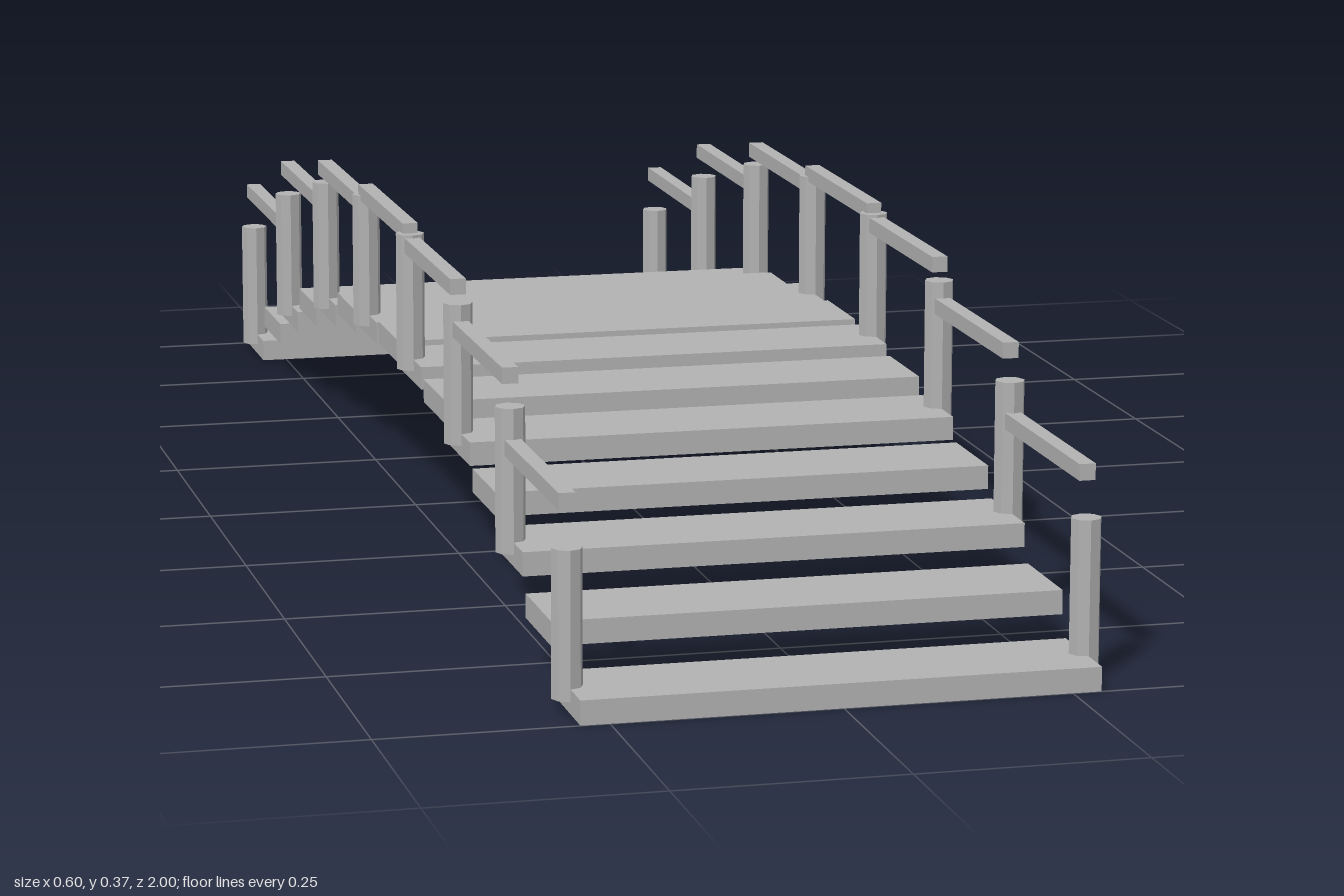
import * as THREE from 'three';

// Arched footbridge: stepped planks, posts on every second plank, level rails between posts.
export function createModel() {
  const model = new THREE.Group();
  model.name = 'archedFootbridge';
  const wood = new THREE.MeshStandardMaterial({ color: 0xb2b2b2, flatShading: true });
  wood.name = 'plain grey';

  const count = 15, step = 0.1342, half = (count - 1) / 2;
  const thick = 0.0268, rise = 0.188, sideX = 0.2815, postHeight = 0.161;
  const plankZ = (i) => (half - i) * step;
  const plankY = (i) => thick / 2 + rise * (1 - ((i - half) / half) ** 2);

  const plankGeo = new THREE.BoxGeometry(sideX * 2, thick, 0.1208);
  const postGeo = new THREE.CylinderGeometry(0.0168, 0.0168, postHeight, 8);
  const railGeo = new THREE.BoxGeometry(0.018, 0.018, 0.272);

  const add = (name, geo, x, y, z) => {
    const mesh = new THREE.Mesh(geo, wood);
    mesh.name = name;
    mesh.position.set(x, y, z);
    model.add(mesh);
  };

  // Planks follow a parabola
  for (let i = 0; i < count; i++) add(`plank${i + 1}`, plankGeo, 0, plankY(i), plankZ(i));

  // Posts and handrails, mirrored on both sides
  for (const [side, x] of [['left', sideX], ['right', -sideX]]) {
    for (let i = 0; i < count; i += 2) {
      add(`${side}Post${i / 2 + 1}`, postGeo, x, plankY(i) + postHeight / 2, plankZ(i));
      if (i + 2 < count) {
        const y = (plankY(i) + plankY(i + 2)) / 2 + postHeight + 0.003;
        add(`${side}Rail${i / 2 + 1}`, railGeo, x, y, plankZ(i + 1));
      }
    }
  }
  return model;
}
